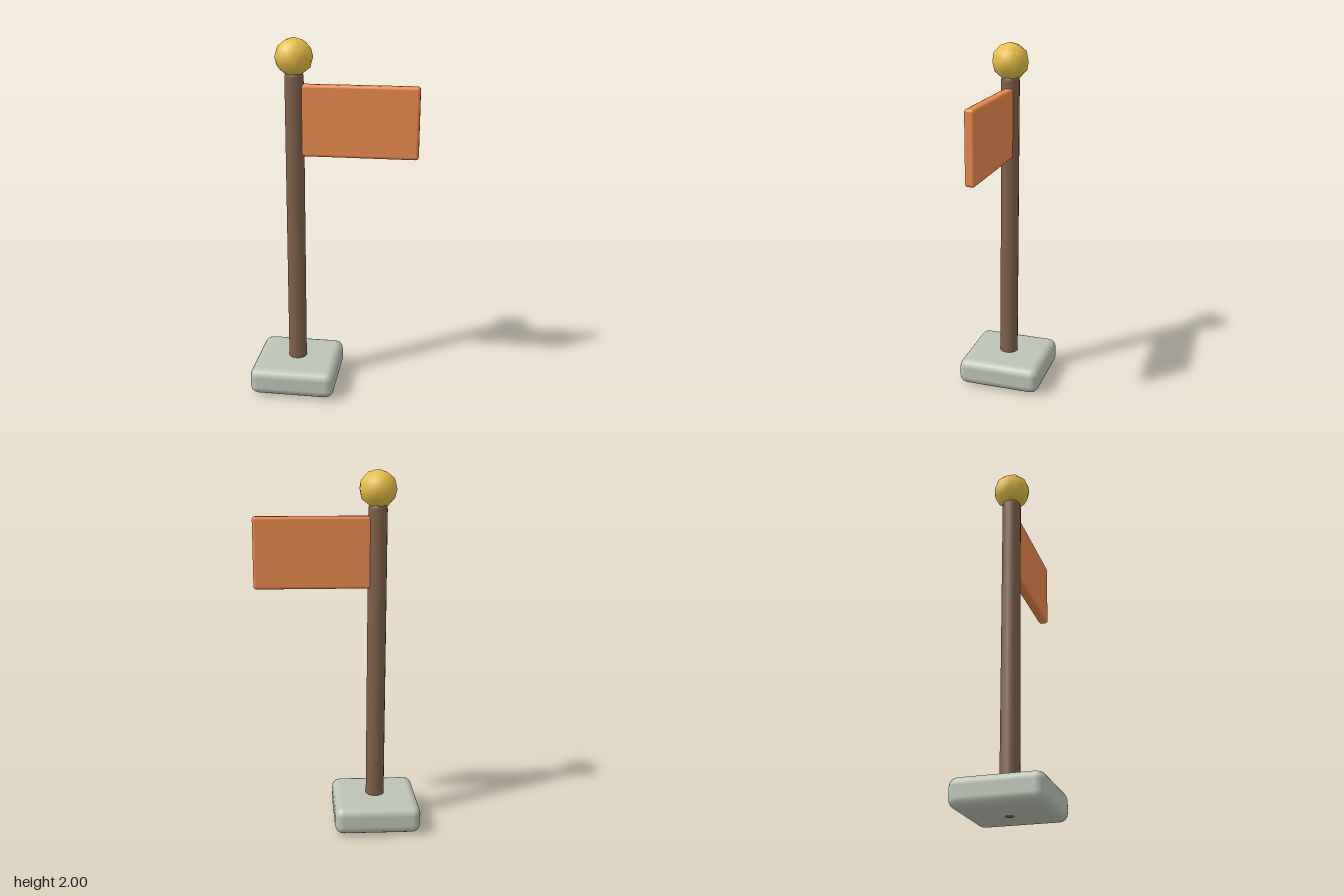
import * as THREE from 'three';
import { RoundedBoxGeometry } from 'three/addons/geometries/RoundedBoxGeometry.js';

const POLE_X = -0.215;

function addPart(group, name, geometry, color, x, y, z = 0) {
  const mesh = new THREE.Mesh(geometry, new THREE.MeshStandardMaterial({ color }));
  mesh.name = name;
  mesh.position.set(x, y, z);
  group.add(mesh);
  return mesh;
}

export function createModel() {
  const group = new THREE.Group();
  group.name = 'flagpole';

  // Soft-edged stone foot
  addPart(group, 'base', new RoundedBoxGeometry(0.48, 0.155, 0.484, 2, 0.048), 0xbcc4b6, POLE_X, 0.0855, -0.001);

  // Round-ended pole, its tip just showing below the base
  addPart(group, 'pole', new THREE.CapsuleGeometry(0.052, 1.74, 4, 16), 0x80604a, POLE_X, 0.922, -0.001);

  // Ball on top, turned so a vertex points straight up
  const ball = addPart(group, 'finial', new THREE.IcosahedronGeometry(0.103, 1), 0xe8c04a, POLE_X, 1.897, -0.001);
  ball.rotation.z = -Math.atan(2 / (1 + Math.sqrt(5)));

  // Stiff flag, sunk slightly into the pole
  addPart(group, 'flag', new RoundedBoxGeometry(0.645, 0.39, 0.055, 2, 0.016), 0xe8894e, 0.1325, 1.56, -0.002);

  return group;
}
